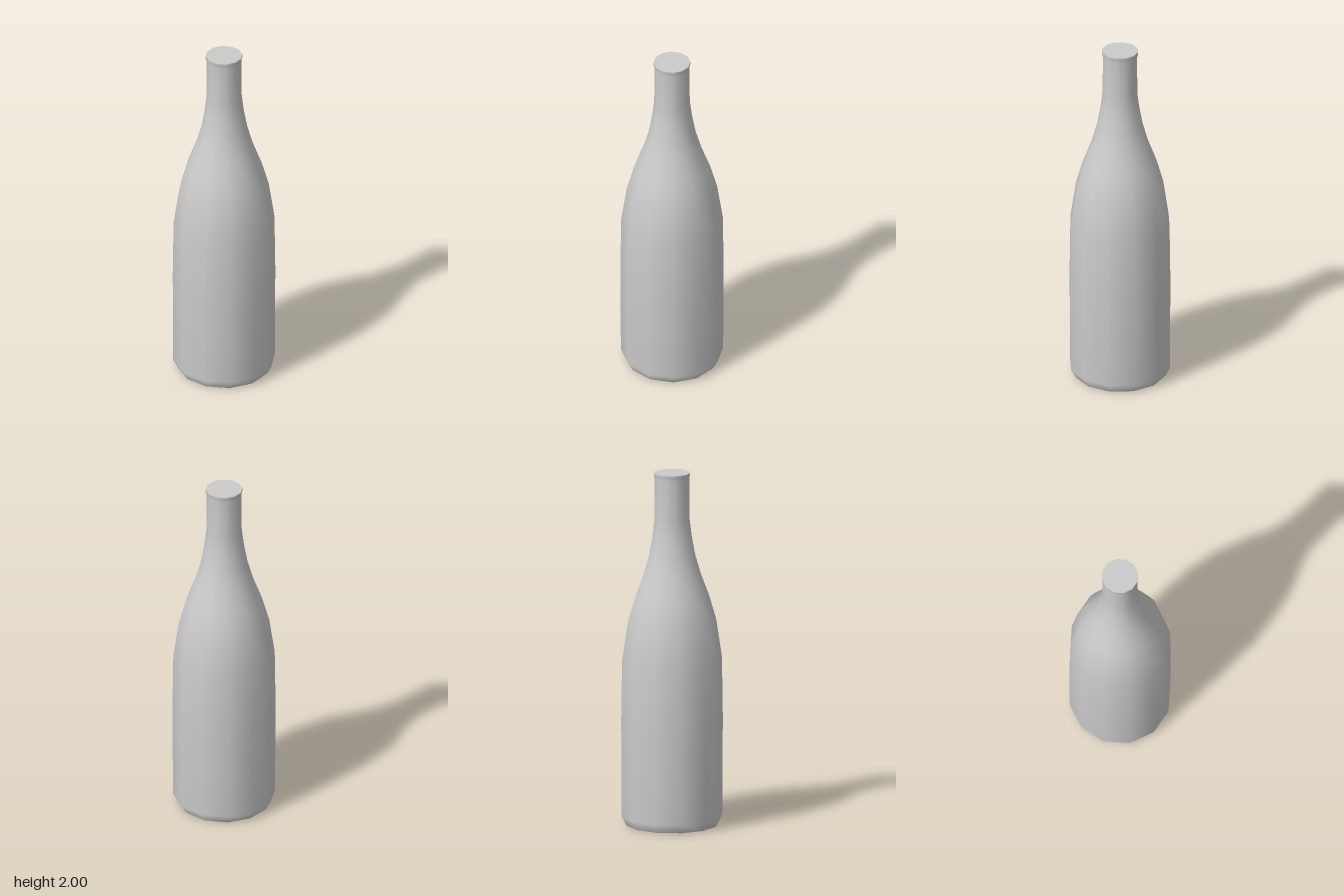
import * as THREE from 'three';

const SIDES = 12;

export function createModel() {
  const group = new THREE.Group();
  group.name = 'bottle';
  const material = new THREE.MeshStandardMaterial({ color: 0xcccccc });

  // Outline from base to mouth: [radius, height]
  const profile = [
    [0.257, 0], [0.285, 0.05], [0.288, 0.6], [0.283, 0.94], [0.252, 1.15],
    [0.212, 1.29], [0.163, 1.42], [0.131, 1.53], [0.111, 1.64],
    [0.099, 1.74], [0.098, 1.97], [0.103, 1.985], [0.103, 2],
  ].map(([r, y]) => new THREE.Vector2(r, y));

  // Smooth twelve-sided body, shoulder and neck
  const body = new THREE.Mesh(new THREE.LatheGeometry(profile, SIDES), material);
  body.name = 'body';
  group.add(body);

  // Flat discs closing the mouth and the base
  const addCap = (name, { x: radius, y }, tilt) => {
    const cap = new THREE.Mesh(new THREE.CircleGeometry(radius, SIDES), material);
    cap.name = name;
    cap.rotation.x = tilt;
    cap.position.y = y;
    group.add(cap);
  };
  addCap('mouthCap', profile[profile.length - 1], -Math.PI / 2);
  addCap('baseCap', profile[0], Math.PI / 2);

  return group;
}
